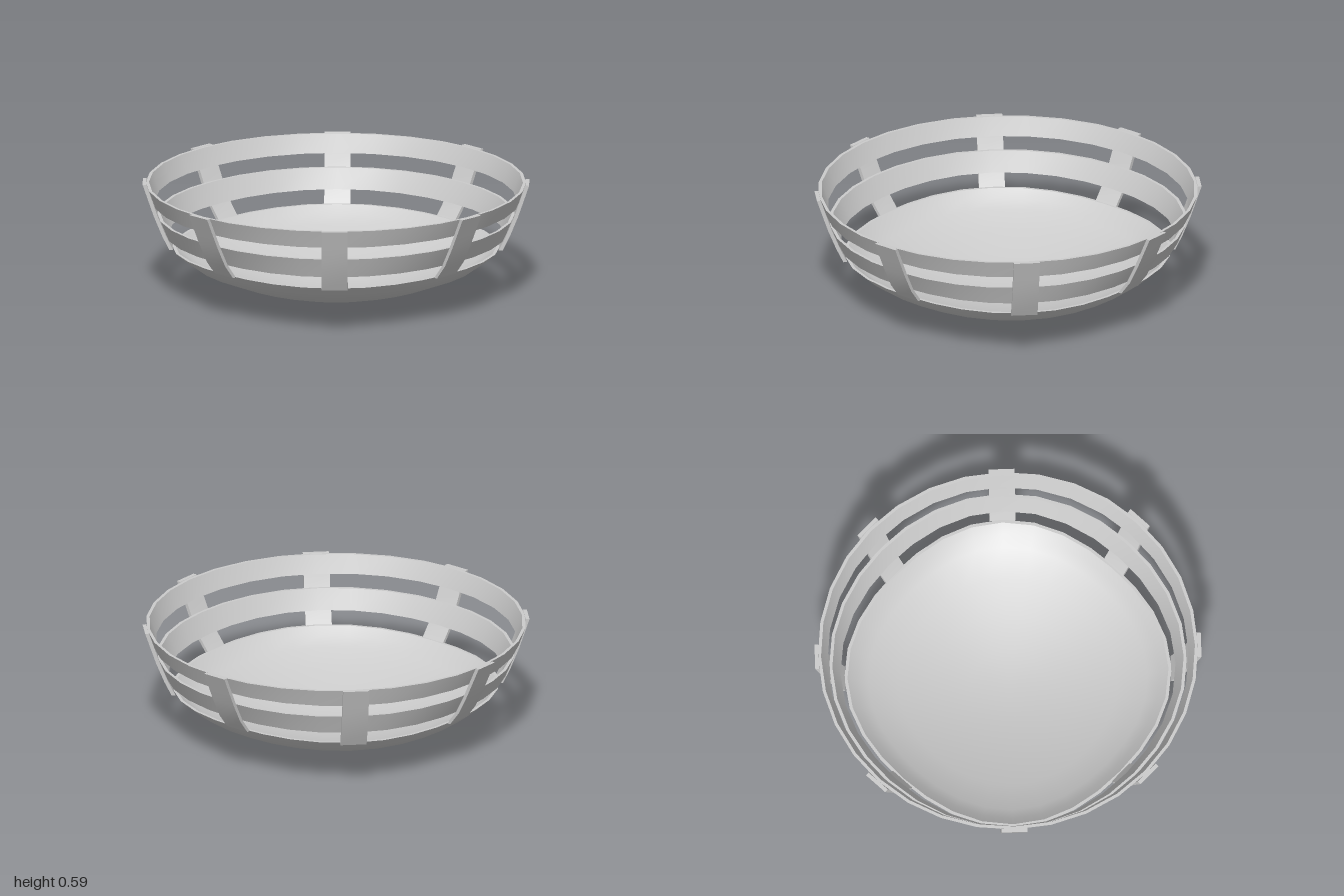
import * as THREE from 'three';
import { toCreasedNormals } from 'three/addons/utils/BufferGeometryUtils.js';

const SEGMENTS = 32;
const material = new THREE.MeshStandardMaterial({ color: 0xcccccc });

// Sweep a profile of [radius, diagonal bulge, height] around y; the bulge makes the ring slightly square.
function sweep(profile) {
  const at = ([r, bulge, y], j) => {
    const a = (j / SEGMENTS) * Math.PI * 2;
    const radius = r + bulge * Math.sin(2 * a) ** 2;
    return [radius * Math.cos(a), y, radius * Math.sin(a)];
  };
  const positions = [];
  for (let i = 0; i < profile.length - 1; i++) {
    const p = profile[i], q = profile[i + 1];
    for (let j = 0; j < SEGMENTS; j++) {
      if (p[0] > 0) positions.push(...at(p, j), ...at(q, j), ...at(p, j + 1));
      if (q[0] > 0) positions.push(...at(q, j), ...at(q, j + 1), ...at(p, j + 1));
    }
  }
  const geometry = new THREE.BufferGeometry();
  geometry.setAttribute('position', new THREE.Float32BufferAttribute(positions, 3));
  return toCreasedNormals(geometry, 0.6);
}

function addMesh(parent, name, geometry) {
  const mesh = new THREE.Mesh(geometry, material);
  mesh.name = name;
  parent.add(mesh);
  return mesh;
}

// Closed band between a lower and an upper outer edge.
function bandGeometry(low, high, thickness = 0.016) {
  const inset = ([r, b, y]) => [r - thickness, b, y];
  return sweep([low, high, inset(high), inset(low), low]);
}

// Curved slat standing along +x, from its outer edge points and thickness.
function slatGeometry(outer, thickness, width) {
  const inner = outer.map(([r, y]) => [r - thickness, y]).reverse();
  const shape = new THREE.Shape([...outer, ...inner].map(([r, y]) => new THREE.Vector2(r, y)));
  const geometry = new THREE.ExtrudeGeometry(shape, { depth: width, bevelEnabled: false });
  geometry.translate(0, 0, -width / 2);
  return toCreasedNormals(geometry, 0.6);
}

export function createModel() {
  const basket = new THREE.Group();
  basket.name = 'basket';

  // Shallow dish: outer skin up to the lip, then the inner skin back to the middle
  addMesh(basket, 'dish', sweep([
    [0, 0, 0], [0.2, 0, 0.012], [0.39, 0.005, 0.05], [0.56, 0.015, 0.1],
    [0.7, 0.03, 0.157], [0.76, 0.036, 0.203], [0.803, 0.04, 0.245],
    [0.787, 0.04, 0.245], [0.745, 0.036, 0.207], [0.69, 0.03, 0.168],
    [0.55, 0.015, 0.114], [0.385, 0.005, 0.066], [0.2, 0, 0.028], [0, 0, 0.017],
  ]));

  // Hoops
  addMesh(basket, 'middleBand', bandGeometry([0.851, 0.028, 0.315], [0.905, 0.016, 0.42]));
  addMesh(basket, 'rimBand', bandGeometry([0.938, 0.008, 0.49], [0.979, 0, 0.585]));

  // Eight slats; the diagonal ones stand steeper
  const straight = [[0.81, 0.24], [0.868, 0.315], [0.922, 0.42], [0.954, 0.49], [0.998, 0.587]];
  const diagonal = [[0.858, 0.24], [0.895, 0.315], [0.938, 0.42], [0.962, 0.49], [0.995, 0.587]];
  for (let i = 0; i < 8; i++) {
    const slat = addMesh(basket, 'slat' + (i + 1), slatGeometry(i % 2 ? diagonal : straight, 0.02, 0.135));
    slat.rotation.y = (i * Math.PI) / 4;
  }
  return basket;
}
